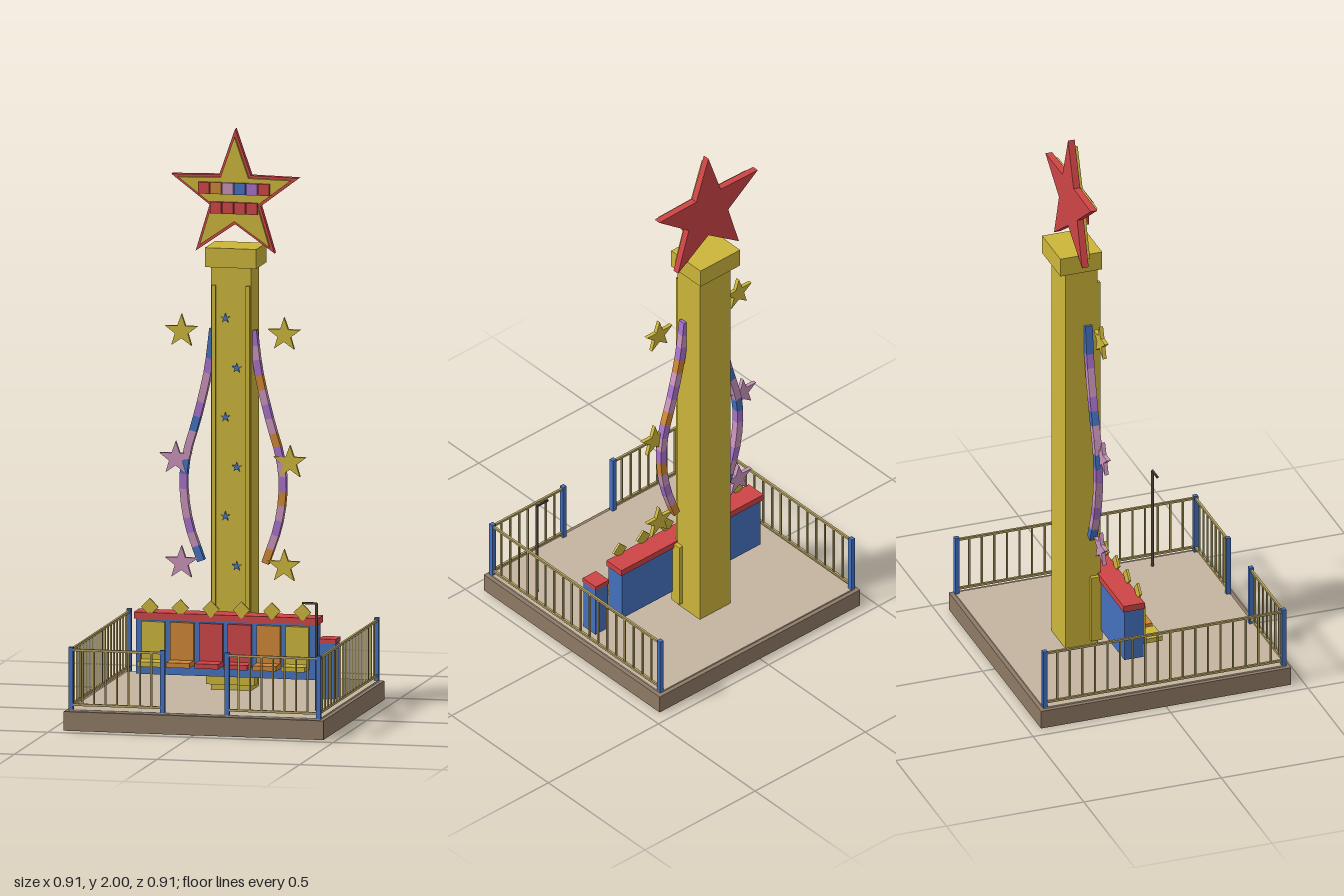
import * as THREE from 'three';

const mat = (name, color) => Object.assign(new THREE.MeshStandardMaterial({ color }), { name });
const M = {
  brown: mat('baseBrown', 0x8f7a66),
  sand: mat('floorSand', 0xc4b59f),
  yellow: mat('yellow', 0xcdb63a),
  red: mat('red', 0xce4446),
  blue: mat('blue', 0x4571bf),
  orange: mat('orange', 0xcf8634),
  pink: mat('pink', 0xca94bc),
  purple: mat('purple', 0xa872cc),
  brass: mat('brass', 0xb5a262),
  dark: mat('darkMetal', 0x4c443a),
};

export function createModel() {
  const root = new THREE.Group();
  root.name = 'dropTowerRide';

  const group = (name) => {
    const g = new THREE.Group();
    g.name = name;
    root.add(g);
    return g;
  };
  const add = (parent, name, geo, material, x, y, z) => {
    const m = new THREE.Mesh(geo, material);
    m.name = name;
    m.position.set(x, y, z);
    parent.add(m);
    return m;
  };
  // Box given by its limits on each axis
  const box = (parent, name, material, [x0, x1], [y0, y1], [z0, z1]) =>
    add(parent, name, new THREE.BoxGeometry(x1 - x0, y1 - y0, z1 - z0), material,
      (x0 + x1) / 2, (y0 + y1) / 2, (z0 + z1) / 2);
  // Flat star or diamond, back face at z
  const star = (parent, name, material, x, y, z, r, depth, points = 5, ratio = 0.4) => {
    const pts = [];
    for (let i = 0; i < points * 2; i++) {
      const a = Math.PI / 2 + (i * Math.PI) / points;
      const k = i % 2 ? r * ratio : r;
      pts.push(new THREE.Vector2(Math.cos(a) * k, Math.sin(a) * k));
    }
    const geo = new THREE.ExtrudeGeometry(new THREE.Shape(pts), { depth, bevelEnabled: false });
    return add(parent, name, geo, material, x, y, z);
  };

  // Platform
  const platform = group('platform');
  box(platform, 'base', M.brown, [-0.455, 0.455], [0, 0.066], [-0.455, 0.455]);
  box(platform, 'floor', M.sand, [-0.44, 0.44], [0.066, 0.071], [-0.44, 0.44]);

  // Tower with cap, front guide rails and small stars
  const tower = group('tower');
  box(tower, 'column', M.yellow, [-0.07, 0.07], [0.07, 1.53], [-0.224, -0.107]);
  box(tower, 'cap', M.yellow, [-0.09, 0.09], [1.53, 1.597], [-0.25, -0.098]);
  box(tower, 'plinth', M.yellow, [-0.085, 0.085], [0.09, 0.335], [-0.135, -0.095]);
  for (const s of [-1, 1]) {
    box(tower, 'guideRail', M.yellow, [s * 0.06 - 0.007, s * 0.06 + 0.007], [0.09, 1.468], [-0.107, -0.096]);
  }
  for (let i = 0; i < 6; i++) {
    star(tower, 'towerStar', M.blue, i % 2 ? 0.02 : -0.02, 1.355 - i * 0.171, -0.107, 0.018, 0.005);
  }

  // Large top star with two rows of coloured tiles
  const sign = group('topStar');
  star(sign, 'starBack', M.red, 0, 1.765, -0.189, 0.235, 0.024);
  star(sign, 'starFace', M.yellow, 0, 1.765, -0.165, 0.208, 0.011);
  const tileRow = (colors, y) => colors.forEach((c, i) => {
    const x = (i - (colors.length - 1) / 2) * 0.042;
    box(sign, 'tile', M[c], [x - 0.0195, x + 0.0195], [y - 0.02, y + 0.02], [-0.154, -0.143]);
  });
  tileRow(['red', 'orange', 'pink', 'blue', 'purple', 'red'], 1.796);
  tileRow(['red', 'red', 'red', 'red'], 1.729);

  // Curved ribbons of coloured segments on both sides
  const ribbons = group('ribbons');
  const ribbon = (side, colors) => {
    const curve = new THREE.CatmullRomCurve3([
      [0.07, 1.31], [0.088, 1.17], [0.128, 1.0], [0.165, 0.87],
      [0.174, 0.77], [0.157, 0.64], [0.113, 0.51],
    ].map(([x, y]) => new THREE.Vector3(side * x, y, -0.143)));
    const n = colors.length;
    const pts = curve.getSpacedPoints(n);
    for (let i = 0; i < n; i++) {
      const [a, b] = [pts[i], pts[i + 1]];
      const mid = a.clone().add(b).multiplyScalar(0.5);
      const geo = new THREE.BoxGeometry(0.026, a.distanceTo(b) + 0.003, 0.026);
      const seg = add(ribbons, 'ribbonSegment', geo, M[colors[i]], mid.x, mid.y, mid.z);
      seg.rotation.z = Math.atan2(a.x - b.x, b.y - a.y) + Math.PI;
    }
  };
  ribbon(-1, ['blue', 'blue', 'purple', 'pink', 'pink', 'purple', 'blue', 'pink',
    'pink', 'blue', 'purple', 'pink', 'pink', 'purple', 'pink', 'blue']);
  ribbon(1, ['purple', 'pink', 'purple', 'orange', 'pink', 'purple', 'pink', 'orange',
    'purple', 'pink', 'purple', 'orange', 'pink', 'purple', 'pink', 'orange']);

  // Stars beside the tower
  const sideStars = group('sideStars');
  [[-0.18, 1.3, 'yellow'], [0.18, 1.3, 'yellow'], [-0.2, 0.86, 'pink'],
    [0.2, 0.86, 'yellow'], [-0.18, 0.5, 'pink'], [0.18, 0.5, 'yellow']]
    .forEach(([x, y, c]) => star(sideStars, 'sideStar', M[c], x, y, -0.142, 0.06, 0.014));

  // Passenger carriage with six seats and a diamond above each
  const carriage = group('carriage');
  box(carriage, 'backPanel', M.blue, [-0.315, 0.315], [0.128, 0.32], [-0.1, -0.03]);
  box(carriage, 'topRail', M.red, [-0.323, 0.323], [0.318, 0.341], [-0.106, -0.029]);
  ['yellow', 'orange', 'red', 'red', 'orange', 'yellow'].forEach((c, i) => {
    const x = (i - 2.5) * 0.101;
    box(carriage, 'seatBack', M[c], [x - 0.041, x + 0.041], [0.17, 0.312], [-0.03, -0.015]);
    box(carriage, 'seatPan', M[c], [x - 0.041, x + 0.041], [0.165, 0.182], [-0.03, 0.047]);
    star(carriage, 'diamond', M.yellow, (i - 2.5) * 0.107, 0.36, -0.037, 0.03, 0.008, 2, 1);
  });

  // Operator's control box
  const control = group('controlBox');
  box(control, 'controlBody', M.blue, [0.337, 0.393], [0.07, 0.262], [-0.052, 0.009]);
  box(control, 'controlTop', M.red, [0.335, 0.395], [0.262, 0.278], [-0.055, 0.012]);

  // Height gauge
  const gauge = group('heightGauge');
  add(gauge, 'gaugePost', new THREE.CylinderGeometry(0.005, 0.005, 0.37, 8), M.dark, 0.385, 0.255, 0.26);
  box(gauge, 'gaugeArm', M.dark, [0.335, 0.387], [0.436, 0.443], [0.257, 0.263]);

  // Fence: two sides and the front with an entrance gap
  const fence = group('fence');
  const F = 0.434;
  const post = (x, z) =>
    box(fence, 'fencePost', M.blue, [x - 0.008, x + 0.008], [0.07, 0.287], [z - 0.008, z + 0.008]);
  const panel = (x0, z0, x1, z1, gaps) => {
    const t = 0.004;
    for (const y of [0.088, 0.277]) {
      box(fence, 'fenceRail', M.brass, [x0 - t, x1 + t], [y - t, y + t], [z0 - t, z1 + t]);
    }
    for (let i = 1; i < gaps; i++) {
      const x = x0 + ((x1 - x0) * i) / gaps;
      const z = z0 + ((z1 - z0) * i) / gaps;
      box(fence, 'baluster', M.brass, [x - 0.003, x + 0.003], [0.088, 0.277], [z - 0.003, z + 0.003]);
    }
  };
  for (const s of [-1, 1]) {
    post(s * F, -F);
    post(s * F, F);
    post(s * 0.113, F);
    panel(s * F, -F, s * F, F, 19);
    panel(s < 0 ? -F : 0.113, F, s < 0 ? -0.113 : F, F, 8);
  }

  return root;
}
